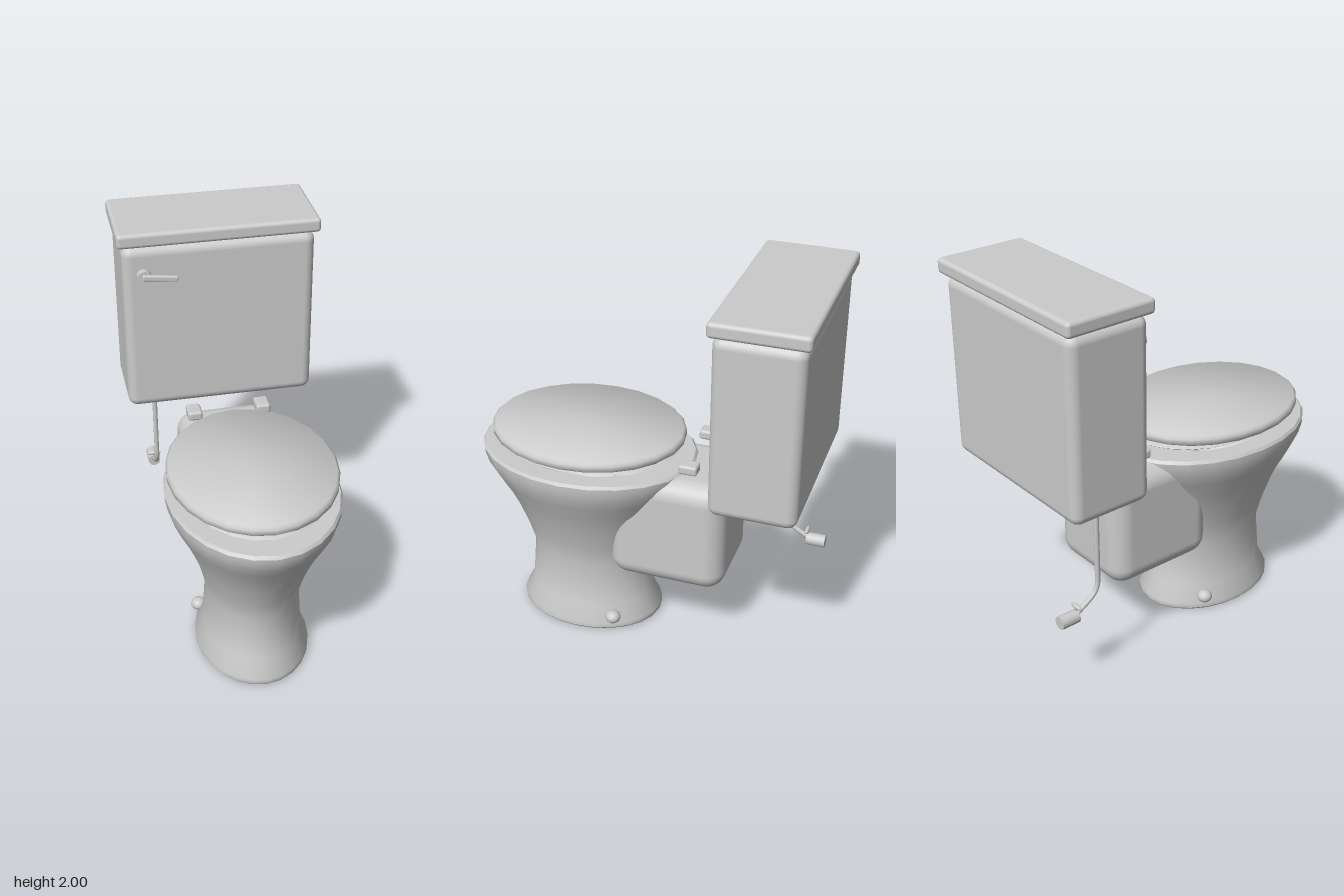
import * as THREE from 'three';
import { toCreasedNormals } from 'three/addons/utils/BufferGeometryUtils.js';
import { RoundedBoxGeometry } from 'three/addons/geometries/RoundedBoxGeometry.js';

const SEGMENTS = 24;
const BOWL_Z = 0.325;

// Stacks elliptical rings [y, radiusX, radiusZ]; a zero-radius ring closes an end.
function ellipseLoft(rings, crease = 0.6) {
  const positions = [];
  const index = [];
  for (const [y, rx, rz] of rings) {
    for (let i = 0; i < SEGMENTS; i++) {
      const a = (i / SEGMENTS) * Math.PI * 2;
      positions.push(Math.sin(a) * rx, y, Math.cos(a) * rz);
    }
  }
  for (let r = 0; r < rings.length - 1; r++) {
    for (let i = 0; i < SEGMENTS; i++) {
      const j = (i + 1) % SEGMENTS;
      const a = r * SEGMENTS + i, b = r * SEGMENTS + j;
      const c = a + SEGMENTS, d = b + SEGMENTS;
      if (rings[r][1] > 0) index.push(a, b, d);
      if (rings[r + 1][1] > 0) index.push(a, d, c);
    }
  }
  const geometry = new THREE.BufferGeometry();
  geometry.setAttribute('position', new THREE.Float32BufferAttribute(positions, 3));
  geometry.setIndex(index);
  return toCreasedNormals(geometry, crease);
}

export function createModel() {
  const model = new THREE.Group();
  model.name = 'toilet';
  const material = new THREE.MeshStandardMaterial({ color: 0xcccccc });

  function add(name, geometry, x, y, z, parent = model) {
    const mesh = new THREE.Mesh(geometry, material);
    mesh.name = name;
    mesh.position.set(x, y, z);
    parent.add(mesh);
    return mesh;
  }

  // Pedestal and bowl: outer wall, rim, then the basin inside
  add('bowl', ellipseLoft([
    [0, 0, 0],
    [0, 0.285, 0.38],
    [0.01, 0.293, 0.386],
    [0.035, 0.293, 0.386],
    [0.13, 0.253, 0.336],
    [0.25, 0.245, 0.326],
    [0.38, 0.237, 0.315],
    [0.5, 0.265, 0.35],
    [0.62, 0.302, 0.397],
    [0.72, 0.342, 0.445],
    [0.82, 0.39, 0.505],
    [0.89, 0.42, 0.548],
    [0.94, 0.43, 0.566],
    [0.97, 0.432, 0.57],
    [0.985, 0.422, 0.557],
    [0.985, 0.33, 0.44],
    [0.95, 0.315, 0.42],
    [0.8, 0.25, 0.33],
    [0.66, 0.14, 0.19],
    [0.62, 0, 0],
  ]), 0, 0, BOWL_Z);

  // Rear housing behind the bowl
  add('trapHousing', new RoundedBoxGeometry(0.51, 0.61, 0.61, 6, 0.1), 0, 0.665, -0.16);

  // Seat ring with a thin, pointed edge
  add('seat', ellipseLoft([
    [1.005, 0.23, 0.33],
    [1.005, 0.345, 0.46],
    [1.02, 0.37, 0.485],
    [1.035, 0.345, 0.46],
    [1.035, 0.23, 0.33],
    [1.02, 0.21, 0.305],
    [1.005, 0.23, 0.33],
  ]), 0, 0, BOWL_Z);

  // Closed seat cover
  add('seatCover', ellipseLoft([
    [1.052, 0, 0],
    [1.052, 0.405, 0.492],
    [1.064, 0.418, 0.506],
    [1.09, 0.418, 0.506],
    [1.104, 0.405, 0.492],
    [1.104, 0, 0],
  ], 0.9), 0, 0, BOWL_Z);

  // Hinges and floor bolt caps, mirrored
  for (const [side, sign] of [['left', 1], ['right', -1]]) {
    add(side + 'Hinge', new RoundedBoxGeometry(0.076, 0.05, 0.098, 3, 0.014), sign * 0.18, 1.05, -0.267);
    add(side + 'BoltCap', new THREE.SphereGeometry(0.04, 16, 12), sign * 0.245, 0.08, 0.12)
      .scale.y = 0.85;
  }

  // Tank and its lid
  add('tank', new RoundedBoxGeometry(0.985, 0.92, 0.43, 5, 0.05), 0, 1.46, -0.66);
  add('tankLid', new RoundedBoxGeometry(1.03, 0.075, 0.467, 4, 0.02), 0, 1.9625, -0.663);

  // Flush lever on the tank front
  const flush = new THREE.Group();
  flush.name = 'flushLever';
  flush.position.set(-0.387, 1.77, 0);
  model.add(flush);
  add('leverBoss', new THREE.CylinderGeometry(0.038, 0.038, 0.045, 16).rotateX(Math.PI / 2), 0, 0, -0.433, flush);
  const arm = add('leverArm', new RoundedBoxGeometry(0.18, 0.03, 0.022, 3, 0.008), 0.077, 0, -0.403, flush);
  arm.rotation.z = -0.12;

  // Water supply pipe bending back to the wall valve
  const pipePath = new THREE.CurvePath();
  const at = (y, z) => new THREE.Vector3(-0.335, y, z);
  pipePath.add(new THREE.LineCurve3(at(1.02, -0.647), at(0.57, -0.647)));
  pipePath.add(new THREE.CubicBezierCurve3(at(0.57, -0.647), at(0.48, -0.647), at(0.47, -0.71), at(0.415, -0.79)));
  add('supplyPipe', new THREE.TubeGeometry(pipePath, 40, 0.013, 10), 0, 0, 0);
  add('valve', new THREE.CylinderGeometry(0.034, 0.034, 0.1, 16).rotateX(Math.PI / 2), -0.335, 0.413, -0.826);
  add('valveStem', new THREE.CylinderGeometry(0.008, 0.008, 0.06, 8), -0.335, 0.435, -0.781);
  add('valveHandle', new THREE.SphereGeometry(1, 16, 10), -0.335, 0.465, -0.776)
    .scale.set(0.039, 0.014, 0.011);

  return model;
}
